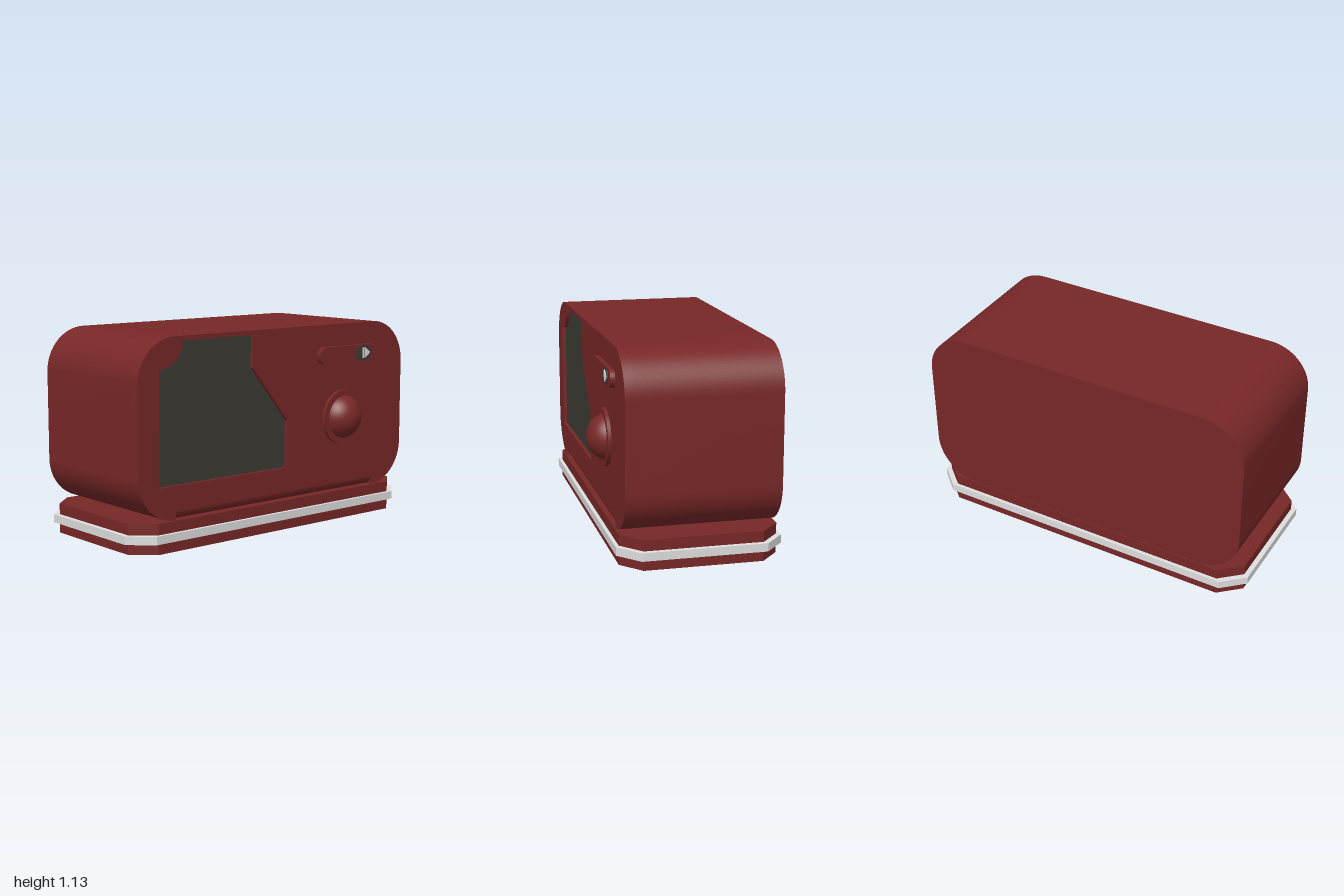
import * as THREE from 'three';
import { toCreasedNormals } from 'three/addons/utils/BufferGeometryUtils.js';

const red = new THREE.MeshStandardMaterial({ color: 0x782727 });
red.name = 'deep red';
const dark = new THREE.MeshStandardMaterial({ color: 0x3c3b33 });
dark.name = 'dark grey';
const silver = new THREE.MeshStandardMaterial({ color: 0xdedede });
silver.name = 'light silver';

const SIDE = 0.378;   // x of the control face
const BACK = -0.457;  // x of the plain face
const EDGE = 0.05;    // rounded lower edge of the control face
const BOTTOM = 0.165, TOP = 1.13, HALF = 0.97, R = 0.24;

export function createModel() {
  const model = new THREE.Group();

  const add = (name, geometry, material) => {
    const mesh = new THREE.Mesh(geometry, material);
    mesh.name = name;
    model.add(mesh);
    return mesh;
  };

  // Side outline (u = -z, v = y) extruded along x from x0 to x1
  const sideways = (shape, x0, x1) => {
    const g = new THREE.ExtrudeGeometry(shape, { depth: x1 - x0, bevelEnabled: false, curveSegments: 16 });
    g.rotateY(Math.PI / 2).translate(x0, 0, 0);
    return toCreasedNormals(g, 0.5);
  };

  // Rounded rectangle; step lifts the straight part of the lower edge
  const rounded = (u0, u1, v0, v1, r, step = 0) => {
    const s = new THREE.Shape();
    s.moveTo(u0 + r, v0);
    if (step) {
      s.lineTo(u0 + r, v0 + step);
      s.lineTo(u1 - r, v0 + step);
    }
    s.lineTo(u1 - r, v0);
    s.absarc(u1 - r, v0 + r, r, -Math.PI / 2, 0);
    s.lineTo(u1, v1 - r);
    s.absarc(u1 - r, v1 - r, r, 0, Math.PI / 2);
    s.lineTo(u0 + r, v1);
    s.absarc(u0 + r, v1 - r, r, Math.PI / 2, Math.PI);
    s.lineTo(u0, v0 + r);
    s.absarc(u0 + r, v0 + r, r, Math.PI, Math.PI * 1.5);
    return s;
  };

  // Screen outline with a round bite in one corner and a slanted far side
  const screenOutline = (Kind) => {
    const s = new Kind();
    s.moveTo(-0.834, 0.348);
    s.lineTo(0.056, 0.348);
    s.lineTo(0.056, 0.616);
    s.lineTo(-0.196, 0.925);
    s.lineTo(-0.196, 1.105);
    s.lineTo(-0.676, 1.105);
    s.absarc(-0.826, 1.113, 0.15, -0.05, -Math.PI / 2 - 0.05, true);
    s.lineTo(-0.834, 0.348);
    return s;
  };

  // Body: solid core, then a face panel with the screen opening
  add('bodyCore', sideways(rounded(-HALF, HALF, BOTTOM, TOP, R), BACK, SIDE - EDGE), red);
  const panel = rounded(-HALF, HALF, BOTTOM, TOP, R, EDGE);
  panel.holes.push(screenOutline(THREE.Path));
  add('facePanel', sideways(panel, SIDE - EDGE, SIDE), red);

  // Rounded lower edge under the face panel
  const quarter = new THREE.Shape();
  quarter.moveTo(0, 0);
  quarter.lineTo(0, -EDGE);
  quarter.absarc(0, 0, EDGE, -Math.PI / 2, 0);
  const edge = new THREE.ExtrudeGeometry(quarter, { depth: 2 * (HALF - R), bevelEnabled: false, curveSegments: 10 });
  edge.translate(SIDE - EDGE, BOTTOM + EDGE, R - HALF);
  add('roundedLowerEdge', toCreasedNormals(edge, 0.5), red);

  // Recessed screen
  add('screen', sideways(screenOutline(THREE.Shape), SIDE - EDGE, SIDE - 0.02), dark);

  // Dial: collar disc and domed knob
  const collar = new THREE.CylinderGeometry(0.158, 0.158, 0.04, 48);
  add('knobCollar', collar.rotateZ(-Math.PI / 2), red).position.set(0.377, 0.594, -0.485);
  const dome = new THREE.SphereGeometry(0.132, 40, 16, 0, Math.PI * 2, 0, Math.PI / 2);
  add('knobDome', dome.rotateZ(-Math.PI / 2), red).position.set(0.35, 0.594, -0.485);

  // Slider track, its button and the small arrow sign
  add('sliderTrack', sideways(rounded(0.281, 0.747, 0.906, 1.004, 0.0489), SIDE - 0.01, 0.404), red);
  add('sliderButton', sideways(rounded(0.566, 0.684, 0.91, 1.0, 0.0449), 0.4, 0.408), dark);
  const bar = rounded(0.613, 0.624, 0.925, 0.987, 0.003);
  add('signBar', sideways(bar, 0.406, 0.411), silver);
  const arrow = new THREE.Shape([[0.632, 0.924], [0.676, 0.956], [0.632, 0.988]].map(p => new THREE.Vector2(...p)));
  add('signArrow', sideways(arrow, 0.406, 0.411), silver);

  // Plinth and trim band: rectangles with cut corners
  const plinth = (name, halfX, halfZ, cutX, cutZ, y0, y1, material) => {
    const a = halfX - cutX, b = halfZ - cutZ;
    const s = new THREE.Shape([
      [halfX, -b], [halfX, b], [a, halfZ], [-a, halfZ],
      [-halfX, b], [-halfX, -b], [-a, -halfZ], [a, -halfZ],
    ].map(p => new THREE.Vector2(...p)));
    const g = new THREE.ExtrudeGeometry(s, { depth: y1 - y0, bevelEnabled: false });
    g.rotateX(-Math.PI / 2).translate(-0.038, y0, 0);
    add(name, g, material);
  };
  plinth('plinth', 0.427, 0.972, 0.106, 0.118, 0, BOTTOM, red);
  plinth('trimBand', 0.447, 1, 0.111, 0.122, 0.06, 0.105, silver);

  return model;
}
